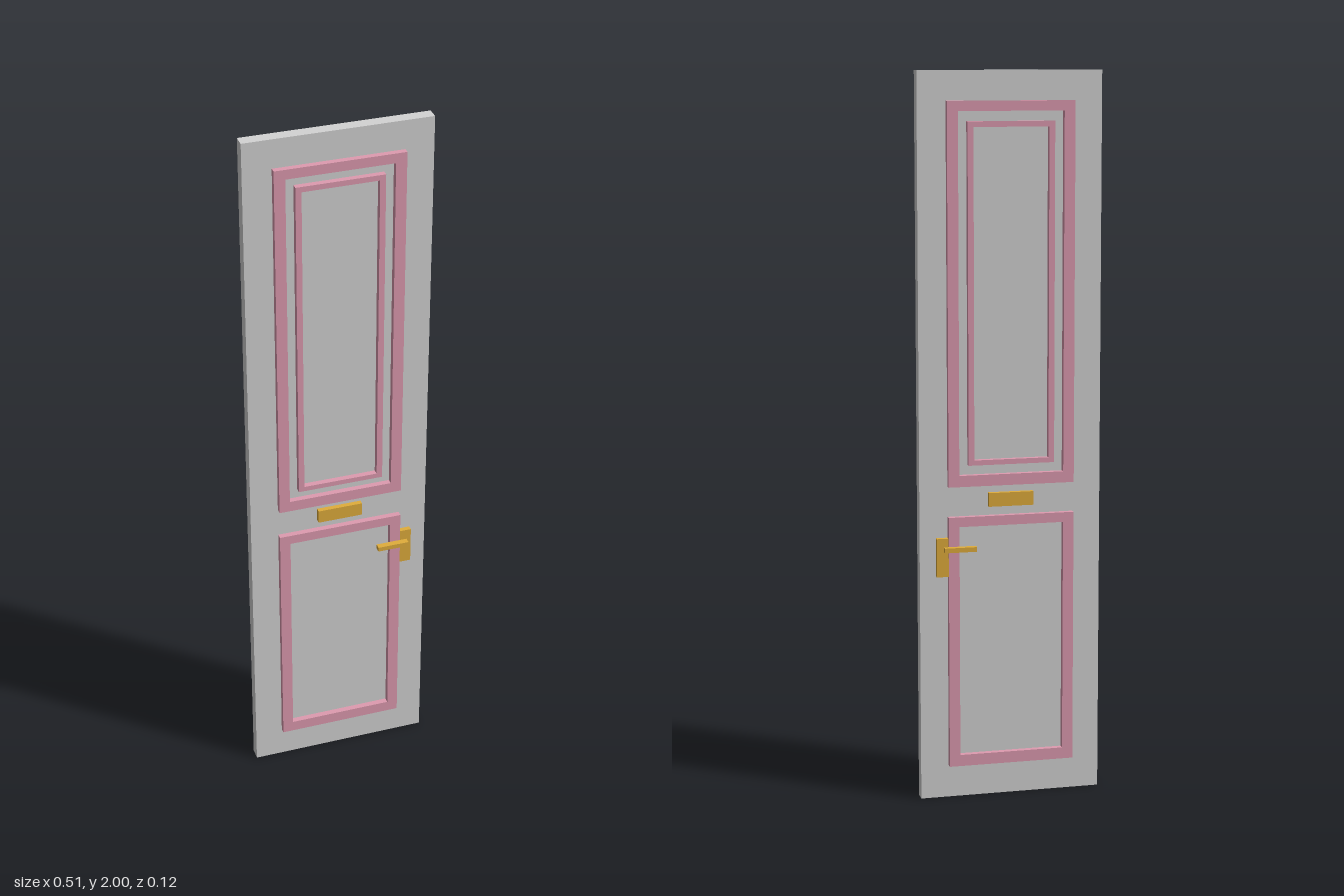
import * as THREE from 'three';

const mat = (name, color) => {
  const m = new THREE.MeshStandardMaterial({ color });
  m.name = name;
  return m;
};

export function createModel() {
  const grey = mat('light grey panel', 0xd3d3d3);
  const pink = mat('dusty pink trim', 0xde9bb0);
  const brass = mat('brass', 0xe0ad3c);

  const door = new THREE.Group();
  door.name = 'door';

  const add = (name, geometry, material) => {
    const mesh = new THREE.Mesh(geometry, material);
    mesh.name = name;
    door.add(mesh);
  };

  // Box given by its extents on each axis
  const box = (name, material, [x0, x1], [y0, y1], [z0, z1]) => {
    const g = new THREE.BoxGeometry(x1 - x0, y1 - y0, z1 - z0);
    g.translate((x0 + x1) / 2, (y0 + y1) / 2, (z0 + z1) / 2);
    add(name, g, material);
  };

  // Rectangular moulding that runs through the slab and stands proud on both faces
  const rect = (C, w, y0, y1) => new C([
    new THREE.Vector2(-w, y0), new THREE.Vector2(w, y0),
    new THREE.Vector2(w, y1), new THREE.Vector2(-w, y1),
  ]);
  const frame = (name, w, y0, y1, innerW, innerY0, innerY1, depth) => {
    const shape = rect(THREE.Shape, w, y0, y1);
    shape.holes.push(rect(THREE.Path, innerW, innerY0, innerY1));
    const g = new THREE.ExtrudeGeometry(shape, { depth: depth * 2, bevelEnabled: false });
    g.translate(0, 0, -depth);
    add(name, g, pink);
  };

  // Door slab
  box('slab', grey, [-0.254, 0.254], [0, 2], [-0.017, 0.017]);

  // Mouldings
  frame('upperOuterFrame', 0.176, 0.881, 1.92, 0.146, 0.912, 1.893, 0.0335);
  frame('upperInnerFrame', 0.12, 0.939, 1.866, 0.104, 0.953, 1.851, 0.0335);
  frame('lowerFrame', 0.176, 0.091, 0.797, 0.146, 0.123, 0.77, 0.0335);

  // Letter plate and handle plate, showing on both faces
  box('letterPlate', brass, [-0.063, 0.063], [0.822, 0.86], [-0.031, 0.031]);
  box('handlePlate', brass, [0.168, 0.209], [0.632, 0.739], [-0.031, 0.031]);

  // Lever on each face
  box('frontLever', brass, [0.103, 0.192], [0.705, 0.718], [0.043, 0.06]);
  box('backLever', brass, [0.103, 0.192], [0.705, 0.718], [-0.06, -0.043]);

  return door;
}
